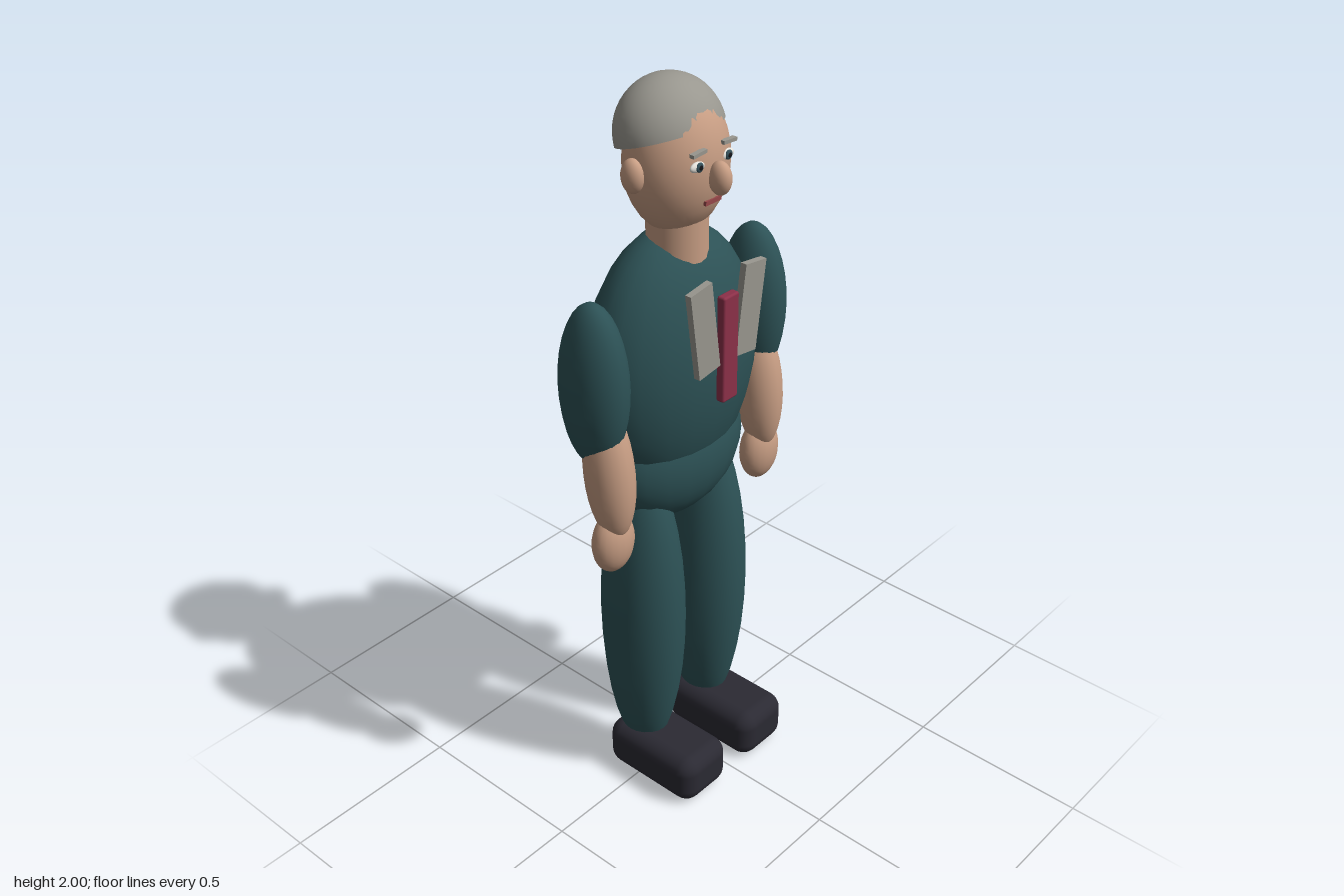
import * as THREE from 'three';
import { RoundedBoxGeometry } from 'three/addons/geometries/RoundedBoxGeometry.js';

const material = (name, color, side = THREE.FrontSide) => {
  const m = new THREE.MeshStandardMaterial({ color, side });
  m.name = name;
  return m;
};

export function createModel() {
  const cloth = material('teal cloth', 0x2d5256);
  const skin = material('skin', 0xc89e84);
  const grey = material('grey', 0x99978f, THREE.DoubleSide);
  const leather = material('dark leather', 0x2b2a33);
  const red = material('tie red', 0x8c3049);
  const white = material('eye white', 0xe6e3dc);
  const iris = material('iris', 0x34505a);
  const black = material('pupil black', 0x141418);
  const lip = material('lip', 0x97484a);

  const model = new THREE.Group();
  model.name = 'standingMan';

  const add = (name, geometry, mat, position, rotation = [0, 0, 0]) => {
    const mesh = new THREE.Mesh(geometry, mat);
    mesh.name = name;
    mesh.position.set(...position);
    mesh.rotation.set(...rotation);
    model.add(mesh);
    return mesh;
  };
  const ball = (name, mat, position, radii, rotation, segments = 20) => {
    const mesh = add(name, new THREE.SphereGeometry(1, segments, 16), mat, position, rotation);
    mesh.scale.set(...radii);
    return mesh;
  };

  // Body
  ball('torso', cloth, [0, 1.265, -0.041], [0.27, 0.36, 0.166]);
  ball('hips', cloth, [0, 1.0, -0.04], [0.23, 0.19, 0.137]);
  add('neck', new THREE.CylinderGeometry(0.077, 0.077, 0.16, 20), skin, [0, 1.61, -0.02]);

  // Head and hair
  ball('head', skin, [0, 1.8, -0.022], [0.138, 0.182, 0.122], [0, 0, 0], 32);
  const hair = add('hair', new THREE.SphereGeometry(1, 32, 12, 0, Math.PI * 2, 0, Math.PI / 2),
    grey, [0, 1.86, -0.042], [-0.32, 0, 0]);
  hair.scale.set(0.144, 0.14, 0.125);
  ball('nose', skin, [0, 1.787, 0.113], [0.025, 0.042, 0.031]);
  add('mouth', new THREE.BoxGeometry(0.054, 0.011, 0.009), lip, [0, 1.725, 0.09]);

  // Jacket front
  add('tie', new RoundedBoxGeometry(0.056, 0.29, 0.025, 2, 0.006), red, [0, 1.355, 0.143]);

  for (const s of [1, -1]) {
    const side = s > 0 ? 'left' : 'right';

    // Face details
    ball(side + 'Ear', skin, [s * 0.142, 1.797, -0.03], [0.025, 0.043, 0.031]);
    ball(side + 'Eye', white, [s * 0.051, 1.824, 0.088], [0.025, 0.013, 0.009]);
    ball(side + 'Iris', iris, [s * 0.051, 1.824, 0.095], [0.012, 0.012, 0.005]);
    ball(side + 'Pupil', black, [s * 0.051, 1.824, 0.099], [0.006, 0.006, 0.003]);
    add(side + 'Brow', new THREE.BoxGeometry(0.046, 0.009, 0.014), grey,
      [s * 0.053, 1.858, 0.092], [0, 0, s * -0.06]);

    // Lapel
    add(side + 'Lapel', new THREE.BoxGeometry(0.077, 0.24, 0.018), grey,
      [s * 0.084, 1.43, 0.137], [0, 0, s * -0.14]);

    // Arm
    ball(side + 'Sleeve', cloth, [s * 0.297, 1.31, -0.022], [0.076, 0.223, 0.097]);
    ball(side + 'Forearm', skin, [s * 0.288, 1.075, 0.012], [0.062, 0.19, 0.068], [-0.1, 0, 0]);
    ball(side + 'Hand', skin, [s * 0.289, 0.873, 0.02], [0.064, 0.088, 0.045]);

    // Leg and shoe
    ball(side + 'Leg', cloth, [s * 0.126, 0.53, -0.033], [0.106, 0.475, 0.122]);
    add(side + 'Shoe', new RoundedBoxGeometry(0.178, 0.145, 0.31, 3, 0.045), leather,
      [s * 0.124, 0.0725, 0.05]);
  }
  return model;
}
